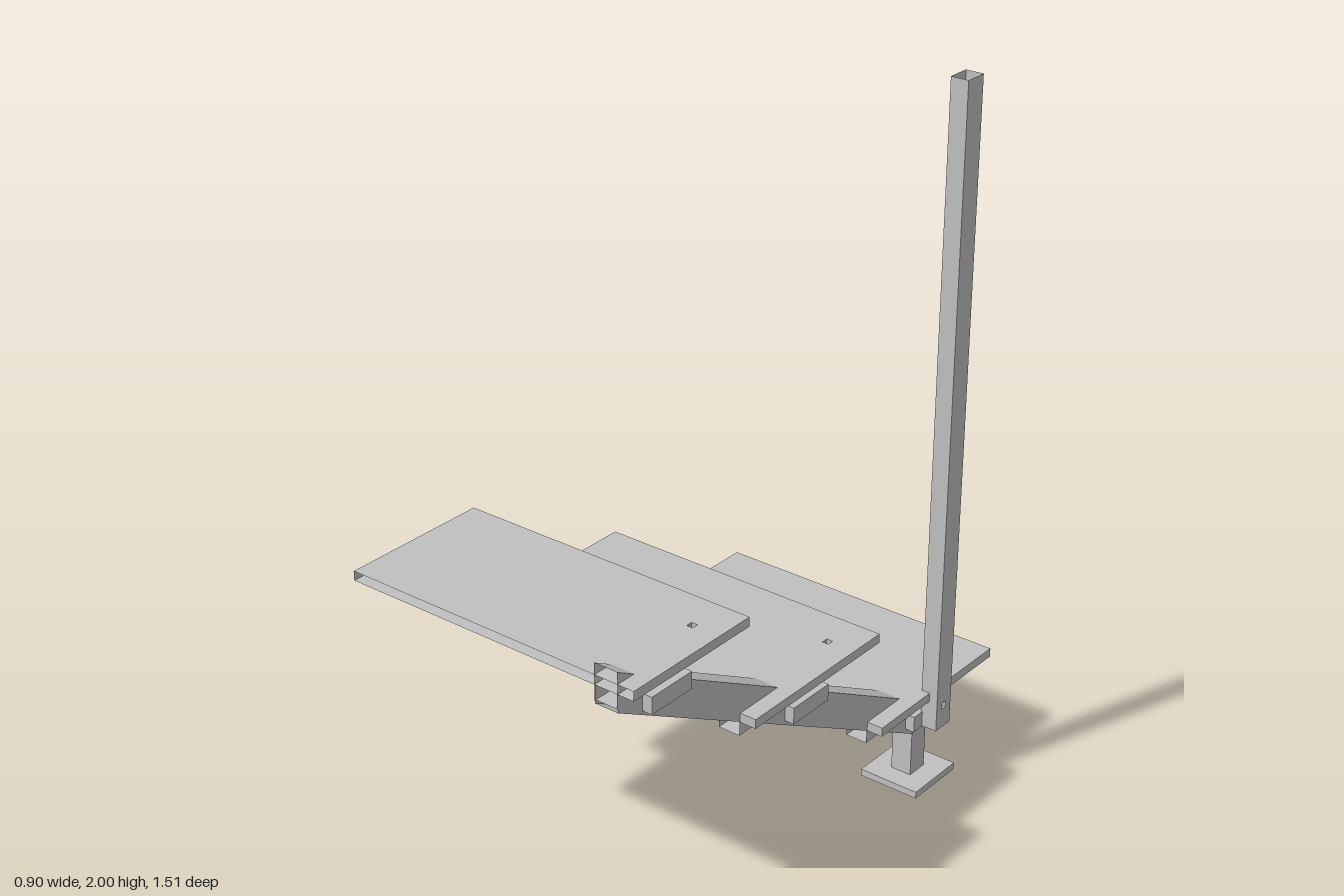
import * as THREE from 'three';

const steel = new THREE.MeshStandardMaterial({ color: 0xc0c0c0, side: THREE.DoubleSide });
steel.name = 'steelGrey';

// Remove the faces lying in the given planes, leaving an open sheet-metal section
function openAt(source, planes) {
  const geo = source.index ? source.toNonIndexed() : source;
  const p = geo.attributes.position;
  const kept = [];
  for (let i = 0; i < p.count; i += 3) {
    const flat = planes.some(([axis, value]) =>
      [i, i + 1, i + 2].every((k) => Math.abs(p.getComponent(k, axis) - value) < 1e-4));
    if (!flat) for (let k = i; k < i + 3; k++) kept.push(p.getX(k), p.getY(k), p.getZ(k));
  }
  const out = new THREE.BufferGeometry();
  out.setAttribute('position', new THREE.Float32BufferAttribute(kept, 3));
  out.computeVertexNormals();
  return out;
}

// Box between two limits on each axis
function box([x0, x1], [y0, y1], [z0, z1]) {
  return new THREE.BoxGeometry(x1 - x0, y1 - y0, z1 - z0)
    .translate((x0 + x1) / 2, (y0 + y1) / 2, (z0 + z1) / 2);
}

function rectPoints(a0, a1, b0, b1) {
  return [[a0, b0], [a1, b0], [a1, b1], [a0, b1]].map(([a, b]) => new THREE.Vector2(a, b));
}

// Prism from an outline with an optional square bolt hole
function prism(points, depth, hole) {
  const shape = new THREE.Shape(points);
  if (hole) {
    const [a, b] = hole, r = 0.009;
    shape.holes.push(new THREE.Path(rectPoints(a - r, a + r, b - r, b + r).reverse()));
  }
  return new THREE.ExtrudeGeometry(shape, { depth, bevelEnabled: false });
}

export function createModel() {
  const model = new THREE.Group();
  const add = (name, geo, parent = model) => {
    const mesh = new THREE.Mesh(geo, steel);
    mesh.name = name;
    parent.add(mesh);
  };
  const X = 0, Y = 1, Z = 2;
  const cutZ = 0.757;

  // Base plate and pedestal
  add('basePlate', box([0.245, 0.425], [0, 0.02], [-0.585, -0.4]));
  add('pedestal', openAt(box([0.303, 0.365], [0.02, 0.235], [-0.525, -0.46]), [[Y, 0.02], [Y, 0.235]]));

  // Tall square tube with a bolt hole near its foot
  const post = prism(rectPoints(-0.525, -0.46, 0.19, 2), 0.05, [-0.493, 0.257])
    .rotateY(-Math.PI / 2).translate(0.44, 0, 0);
  add('handrailPost', openAt(post, [[Y, 0.19], [Y, 2]]));

  // Sloping stringer, cut vertically and open at its upper end
  const outline = [[-0.46, 0.153], [cutZ, 0.82], [cutZ, 0.927], [-0.46, 0.26]]
    .map(([z, y]) => new THREE.Vector2(z, y));
  const stringer = prism(outline, 0.068).rotateY(-Math.PI / 2).translate(0.368, 0, 0);
  add('stringer', openAt(stringer, [[Z, cutZ]]));

  // Three steps; the uppermost is shortened and open at the front
  for (let i = 0; i < 3; i++) {
    const step = new THREE.Group();
    step.name = 'step' + (i + 1);
    const top = 0.3 + i * 0.2975;
    const back = -0.757 + i * 0.546;
    const front = Math.min(back + 0.517, cutZ);

    const tread = prism(rectPoints(-0.465, 0.415, -front, -back), 0.026, [0.334, -(back + 0.113)])
      .rotateX(-Math.PI / 2).translate(0, top - 0.026, 0);
    add('tread', i === 2 ? openAt(tread, [[Z, front]]) : tread, step);

    const bar = box([0.303, 0.366], [top - 0.065, top - 0.026], [back, front]);
    add('supportBar', openAt(bar, [[Z, back], [Z, front]]), step);

    add('bracket', box([0.27, 0.395], [top - 0.112, top - 0.065], [back + 0.19, back + 0.335]), step);
    model.add(step);
  }
  return model;
}
